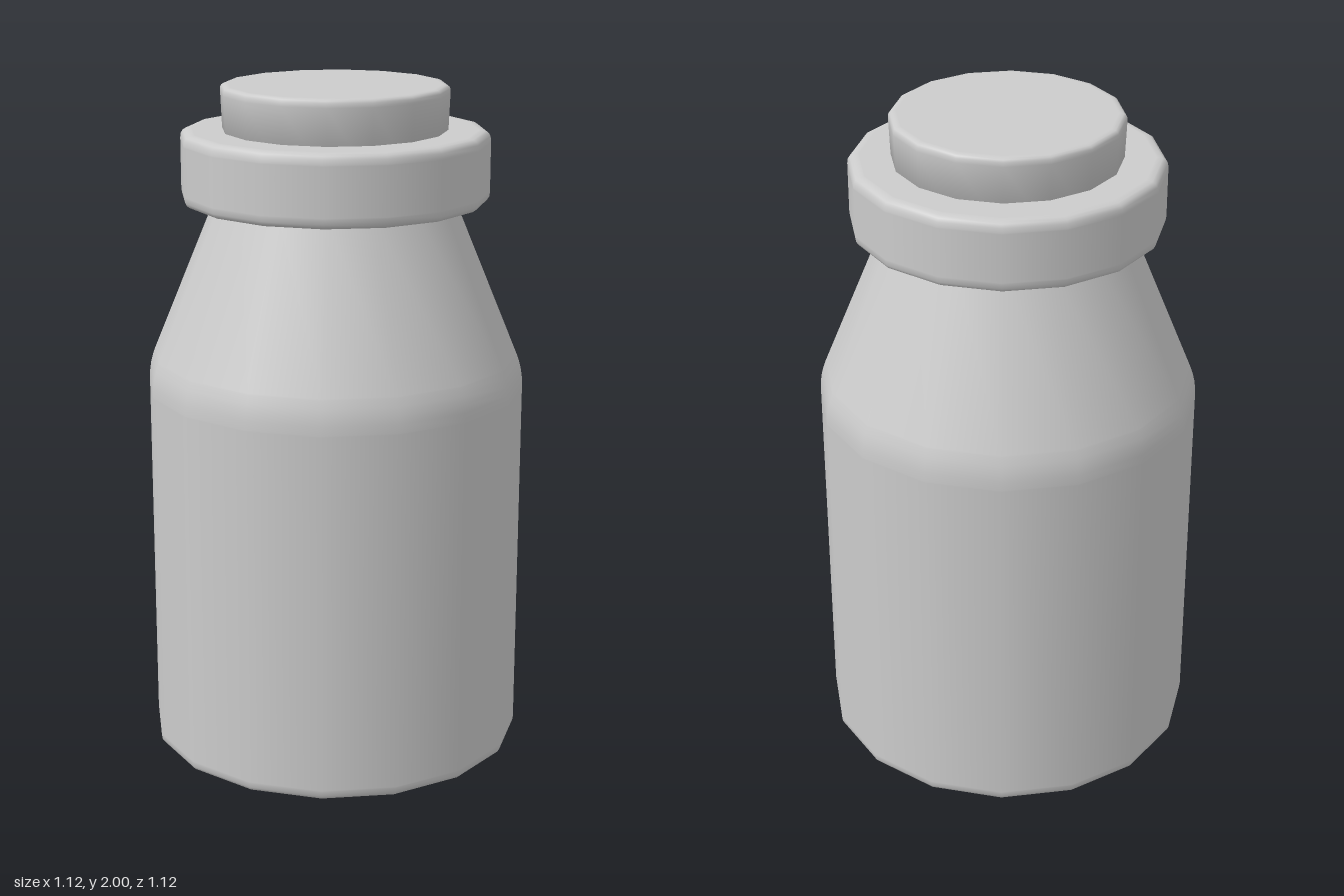
import * as THREE from 'three';

const SIDES = 16;
const material = new THREE.MeshStandardMaterial({ color: 0xcccccc, side: THREE.DoubleSide });

// Turns corners [radius, y, bevel] into a profile with rounded corners.
// Support points beside each bevel keep the flat areas shading flat.
function roundedProfile(corners) {
  const pts = corners.map(([x, y]) => new THREE.Vector2(x, y));
  const out = [];
  corners.forEach(([, , bevel], i) => {
    const p = pts[i];
    if (!bevel) {
      out.push(p);
      return;
    }
    const toPrev = pts[i - 1].clone().sub(p).normalize();
    const toNext = pts[i + 1].clone().sub(p).normalize();
    const along = (dir, d) => p.clone().addScaledVector(dir, d);
    const curve = new THREE.QuadraticBezierCurve(along(toPrev, bevel), p, along(toNext, bevel));
    out.push(along(toPrev, bevel + 0.004), ...curve.getPoints(4), along(toNext, bevel + 0.004));
  });
  return out;
}

function turned(name, corners) {
  const mesh = new THREE.Mesh(new THREE.LatheGeometry(roundedProfile(corners), SIDES), material);
  mesh.name = name;
  return mesh;
}

export function createModel() {
  const group = new THREE.Group();
  group.name = 'bottle';

  // Straight body with a sloping shoulder that runs up into the rim
  group.add(turned('body', [
    [0, 0], [0.56, 0, 0.03], [0.56, 1.16, 0.05], [0.35, 1.67], [0.32, 1.75], [0, 1.75],
  ]));

  // Thick collar around the neck
  group.add(turned('rim', [
    [0, 1.66], [0.452, 1.66, 0.03], [0.452, 1.87, 0.03], [0, 1.87],
  ]));

  // Slightly flared stopper
  group.add(turned('stopper', [
    [0, 1.78], [0.325, 1.78], [0.334, 2, 0.02], [0, 2],
  ]));

  return group;
}
